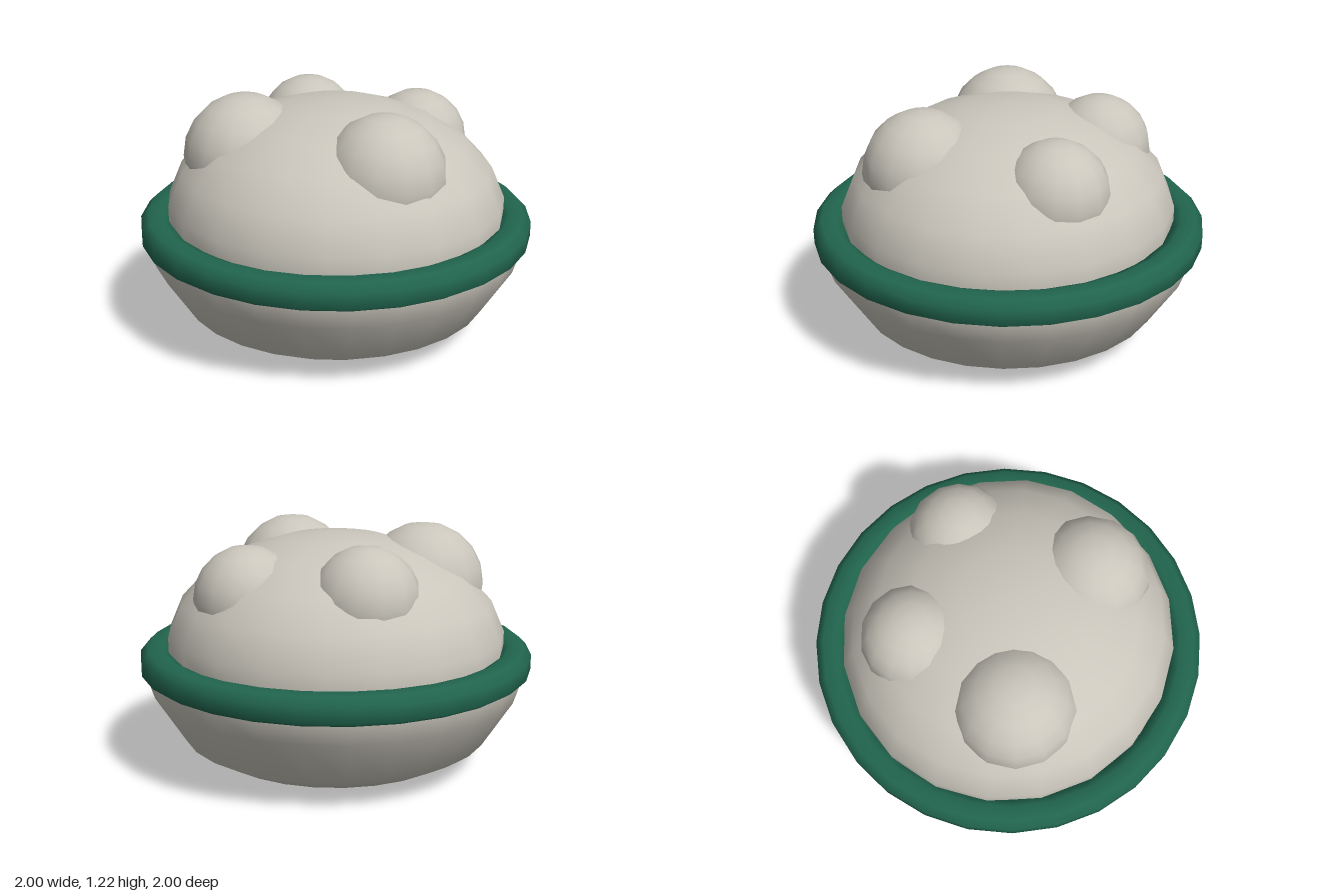
import * as THREE from 'three';

const shell = new THREE.MeshStandardMaterial({ color: 0xcac6bc });
shell.name = 'warm grey shell';
const trim = new THREE.MeshStandardMaterial({ color: 0x21654e });
trim.name = 'green trim';

export function createModel() {
  const model = new THREE.Group();
  model.name = 'domedSaucer';

  const add = (name, geometry, material) => {
    const mesh = new THREE.Mesh(geometry, material);
    mesh.name = name;
    model.add(mesh);
    return mesh;
  };
  const lathe = (points, sides) =>
    new THREE.LatheGeometry(points.map(([r, y]) => new THREE.Vector2(r, y)), sides);

  // Full body ellipsoid: dome on top, its tip showing below the flat base
  const body = add('domeBody', new THREE.SphereGeometry(1, 20, 11), shell);
  body.scale.set(0.874, 0.59, 0.854);
  body.position.y = 0.59;

  // Lower bowl with flat base
  add('lowerBowl', lathe([
    [0, 0.06], [0.65, 0.06], [0.79, 0.14], [0.94, 0.38], [0.975, 0.49], [0.97, 0.55],
  ], 28), shell);

  // Rim ring around the widest part
  add('rimRing', lathe([
    [0.84, 0.53], [0.87, 0.476], [0.965, 0.476], [1, 0.5],
    [1, 0.575], [0.96, 0.613], [0.89, 0.615], [0.84, 0.59], [0.84, 0.53],
  ], 28), trim);

  // Round bumps sunk into the dome: x, y, z, radius
  const bumps = [
    ['frontLeftBump', 0.36, 0.905, 0.28, 0.302],
    ['frontRightBump', -0.40, 0.905, 0.215, 0.312],
    ['backRightBump', -0.30, 0.92, -0.365, 0.264],
    ['backLeftBump', 0.30, 0.89, -0.405, 0.264],
  ];
  for (const [name, x, y, z, r] of bumps) {
    add(name, new THREE.SphereGeometry(r, 14, 10), shell).position.set(x, y, z);
  }

  return model;
}
